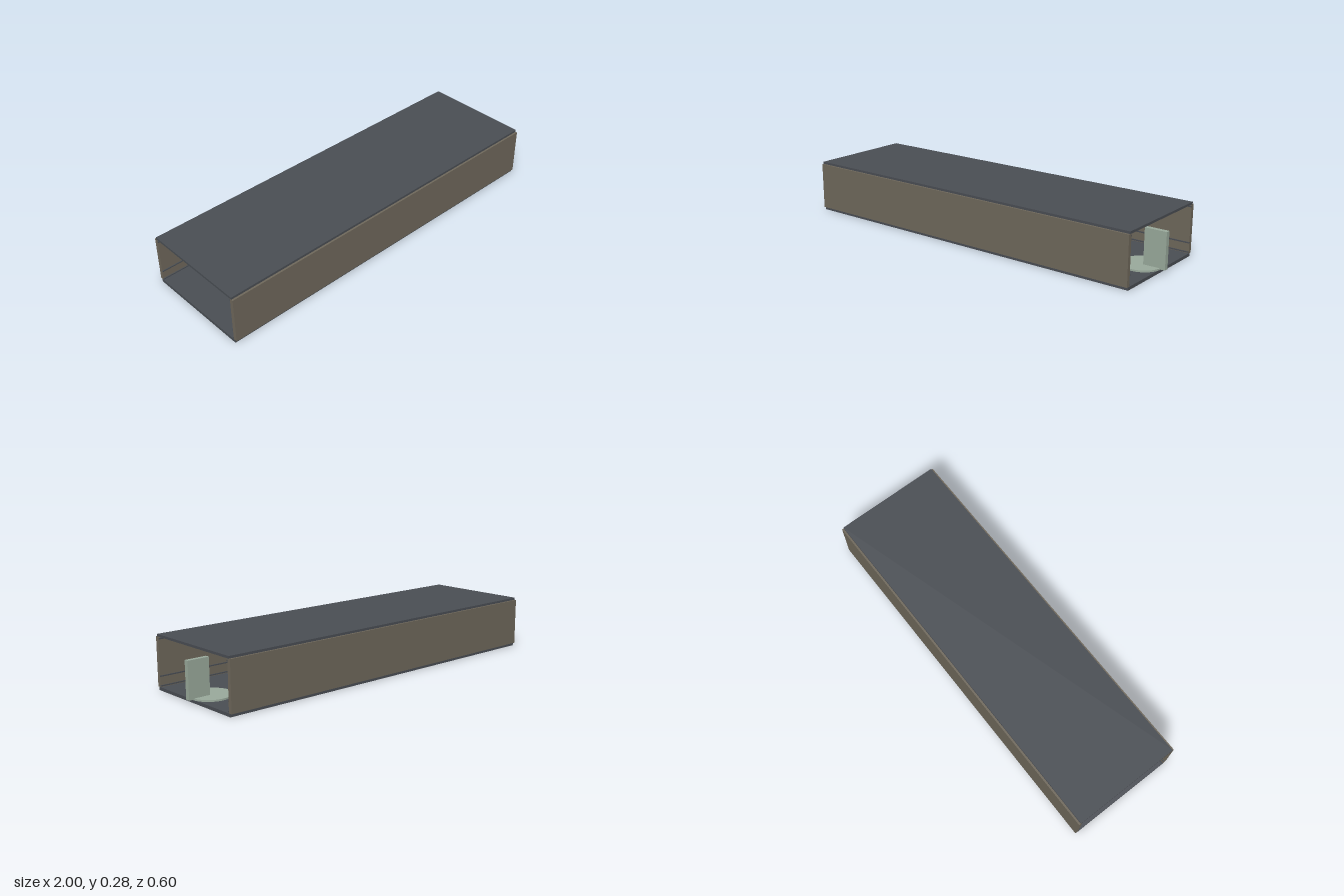
import * as THREE from 'three';

export function createModel() {
  const model = new THREE.Group();
  model.name = 'openChannel';

  const mat = (name, color, side = THREE.FrontSide) => {
    const m = new THREE.MeshStandardMaterial({ color, side });
    m.name = name;
    return m;
  };
  const dark = mat('darkGrey', 0x4a4e54);
  const brown = mat('brownWall', 0x6f685b);
  const tan = mat('tan', 0xae9e8a);
  const lavender = mat('lavenderGrey', 0xaaabb9);
  const green = mat('sageGreen', 0x9aaa9c);
  const red = mat('mutedRed', 0xc4646f);

  // Box given by its minimum and maximum on each axis
  const box = (name, material, [x0, x1], [y0, y1], [z0, z1]) => {
    const mesh = new THREE.Mesh(new THREE.BoxGeometry(x1 - x0, y1 - y0, z1 - z0), material);
    mesh.position.set((x0 + x1) / 2, (y0 + y1) / 2, (z0 + z1) / 2);
    mesh.name = name;
    model.add(mesh);
    return mesh;
  };
  const cylinder = (name, material, radius, height, x, y, z, alongZ = false) => {
    const mesh = new THREE.Mesh(new THREE.CylinderGeometry(radius, radius, height, 32), material);
    if (alongZ) mesh.rotation.x = Math.PI / 2;
    mesh.position.set(x, y, z);
    mesh.name = name;
    model.add(mesh);
  };

  // Outer shell, open at both ends
  const span = [-1, 0.97];
  box('floor', dark, span, [0, 0.016], [-0.288, 0.288]);
  box('roof', dark, span, [0.264, 0.276], [-0.288, 0.288]);

  for (const s of [1, -1]) {
    const zs = (a, b) => (s > 0 ? [a, b] : [-b, -a]);
    box('sideWall', brown, span, [0.016, 0.264], zs(0.278, 0.298));

    // Thin rails along the inside of each wall
    for (const y of [0.023, 0.071, 0.254]) {
      box('wallRail', dark, span, [y - 0.003, y + 0.003], zs(0.273, 0.278));
    }

    // Side cases with rollers on their outer faces
    box('sideCase', tan, [-0.45, 0.45], [0.016, 0.148], zs(0.175, 0.255));
    for (const x of [-0.35, 0.35]) {
      cylinder('rollerStem', tan, 0.009, 0.008, x, 0.145, s * 0.259, true);
      cylinder('roller', dark, 0.0145, 0.007, x, 0.145, s * 0.2665, true);
    }
  }

  // Inner deck and central block
  box('deck', lavender, [-0.7, 0.7], [0.197, 0.216], [-0.268, 0.268]);
  box('centreBlock', red, [-0.1, 0.1], [0.016, 0.099], [-0.028, 0.028]);

  // Upright fin on a round base at the end
  cylinder('finBase', green, 0.102, 0.009, 0.872, 0.0205, 0);
  box('fin', green, [0.885, 1], [0.02, 0.207], [-0.012, 0.012]);

  return model;
}
